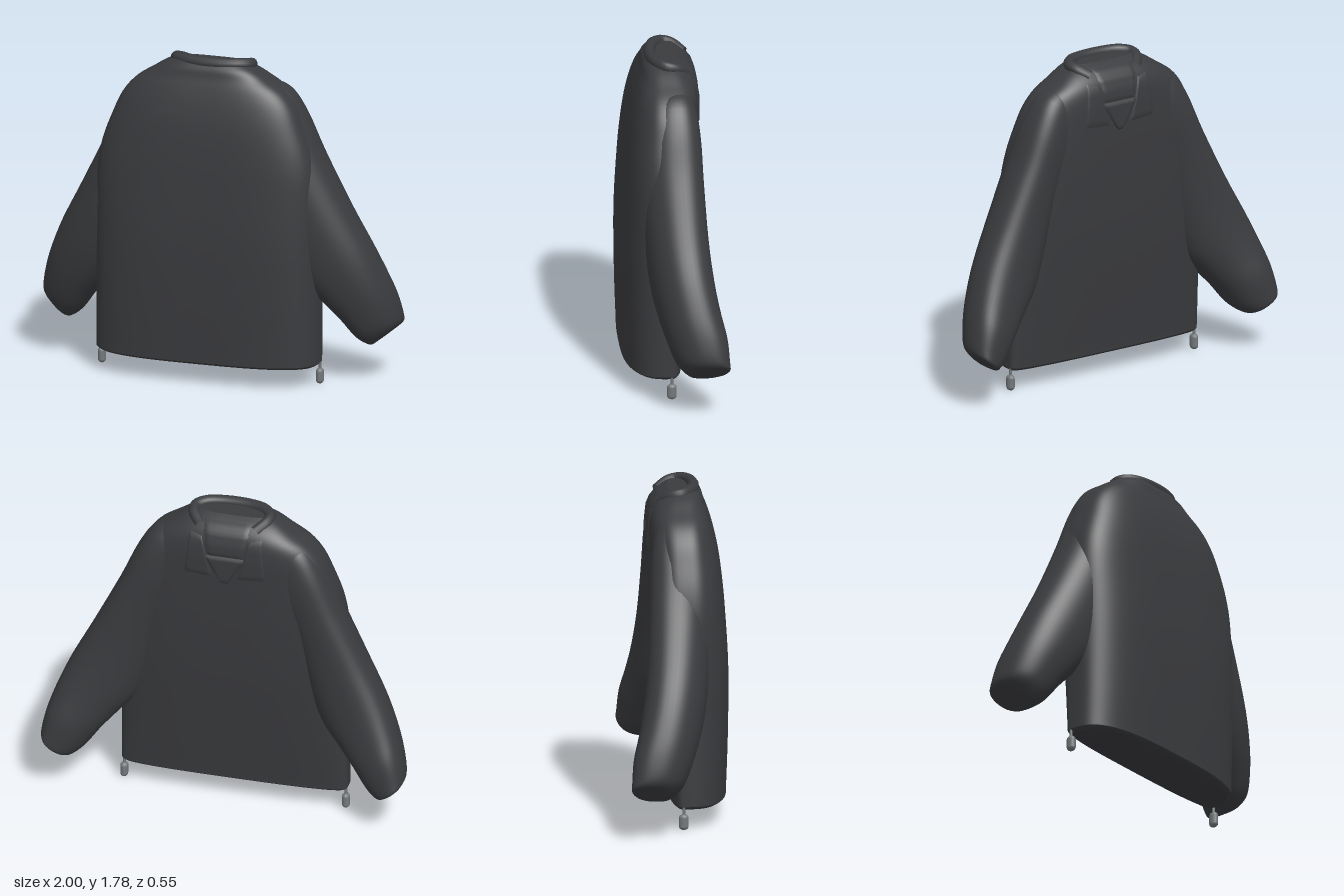
import * as THREE from 'three';

const cloth = new THREE.MeshStandardMaterial({ color: 0x3a3b3e, side: THREE.DoubleSide });
const metal = new THREE.MeshStandardMaterial({ color: 0x74787a });

// Body rows: y, half width, front z, back z
const BODY = [
  [0.11, 0.605, 0.24, -0.03],
  [0.125, 0.62, 0.262, -0.05],
  [0.16, 0.622, 0.265, -0.055],
  [0.45, 0.622, 0.275, -0.09],
  [0.8, 0.622, 0.277, -0.128],
  [1.1, 0.618, 0.26, -0.146],
  [1.27, 0.59, 0.245, -0.152],
  [1.42, 0.535, 0.225, -0.155],
  [1.53, 0.485, 0.20, -0.155],
  [1.61, 0.42, 0.175, -0.148],
  [1.67, 0.33, 0.152, -0.128],
  [1.715, 0.26, 0.138, -0.09],
  [1.745, 0.20, 0.115, -0.04],
];
const EDGE_Z = 0.02, SHIFT = -0.012;
const POWER = 3; // roundness of the body section

// Sleeve sections from cuff to shoulder: outer x, y, inner x, y, mid z, half depth
const SLEEVE = [
  [0.96, 0.29, 0.86, 0.21, -0.165, 0.07],
  [0.99, 0.315, 0.835, 0.205, -0.16, 0.105],
  [1.0, 0.36, 0.77, 0.255, -0.13, 0.135],
  [0.975, 0.48, 0.69, 0.36, -0.10, 0.155],
  [0.93, 0.61, 0.60, 0.46, -0.065, 0.16],
  [0.86, 0.77, 0.50, 0.58, -0.033, 0.163],
  [0.75, 0.98, 0.42, 0.78, -0.008, 0.163],
  [0.605, 1.27, 0.34, 1.05, 0.008, 0.162],
  [0.51, 1.48, 0.25, 1.22, 0.012, 0.158],
  [0.42, 1.61, 0.18, 1.36, 0.012, 0.138],
  [0.30, 1.66, 0.12, 1.48, 0.012, 0.10],
];

// Smooth interpolation through rows of numbers
function rowsAlong(keys, steps) {
  const rows = [];
  for (let i = 0; i < keys.length - 1; i++) {
    const a = keys[Math.max(i - 1, 0)], b = keys[i], c = keys[i + 1];
    const d = keys[Math.min(i + 2, keys.length - 1)];
    for (let s = 0; s < steps; s++) {
      const t = s / steps;
      rows.push(b.map((v, k) => {
        const cubic = 3 * (v - c[k]) + d[k] - a[k];
        const square = 2 * a[k] - 5 * v + 4 * c[k] - d[k];
        return v + 0.5 * t * (c[k] - a[k] + t * (square + t * cubic));
      }));
    }
  }
  rows.push(keys[keys.length - 1]);
  return rows;
}

// Skin over closed rings, with flat caps on both ends
function loft(rings) {
  const n = rings[0].length, pos = rings.flat(2), idx = [];
  for (let r = 0; r < rings.length - 1; r++) {
    for (let i = 0; i < n; i++) {
      const a = r * n + i, b = r * n + (i + 1) % n;
      idx.push(a, a + n, b, b, a + n, b + n);
    }
  }
  for (const [ring, first] of [[rings[0], true], [rings[rings.length - 1], false]]) {
    const base = pos.length / 3;
    const mid = [0, 1, 2].map(k => ring.reduce((sum, p) => sum + p[k], 0) / n);
    pos.push(...ring.flat(), ...mid);
    for (let i = 0; i < n; i++) {
      const a = base + i, b = base + (i + 1) % n;
      idx.push(base + n, first ? a : b, first ? b : a);
    }
  }
  const g = new THREE.BufferGeometry();
  g.setAttribute('position', new THREE.Float32BufferAttribute(pos, 3));
  g.setIndex(idx);
  g.computeVertexNormals();
  return g;
}

// Rounded section; a higher power makes it boxier
function ring(n, power, place) {
  return Array.from({ length: n }, (_, i) => {
    const t = i / n * Math.PI * 2, c = Math.cos(t), s = Math.sin(t), e = 2 / power;
    return place(Math.sign(c) * Math.abs(c) ** e, Math.sign(s) * Math.abs(s) ** e);
  });
}

// Depth of the neck side of the body at a given point
function panelZ(x, y) {
  let i = 0;
  while (i < BODY.length - 2 && BODY[i + 1][0] < y) i++;
  const t = (y - BODY[i][0]) / (BODY[i + 1][0] - BODY[i][0]);
  const w = THREE.MathUtils.lerp(BODY[i][1], BODY[i + 1][1], t);
  const back = THREE.MathUtils.lerp(BODY[i][3], BODY[i + 1][3], t);
  const u = Math.min(1, Math.abs((x - SHIFT) / w));
  return EDGE_Z + (back - EDGE_Z) * (1 - u ** POWER) ** (1 / POWER);
}

// Raised four-cornered cloth patch that follows the body
function patch(a, b, c, d, lift) {
  const g = new THREE.PlaneGeometry(1, 1, 12, 12), p = g.attributes.position;
  for (let i = 0; i < p.count; i++) {
    const u = p.getX(i) + 0.5, v = p.getY(i) + 0.5;
    const mix = k => (1 - v) * ((1 - u) * a[k] + u * b[k]) + v * ((1 - u) * d[k] + u * c[k]);
    const rim = Math.min(u, 1 - u, v, 1 - v) < 0.01;
    p.setXYZ(i, mix(0), mix(1), panelZ(mix(0), mix(1)) - (rim ? -0.004 : lift));
  }
  g.computeVertexNormals();
  return g;
}

export function createModel() {
  const model = new THREE.Group();
  model.name = 'jacket';
  const add = (name, geometry, material = cloth) => {
    const m = new THREE.Mesh(geometry, material);
    m.name = name;
    model.add(m);
    return m;
  };

  // Body, deep at the middle and thin toward the sides
  const bodyRings = rowsAlong(BODY, 4).map(([y, w, front, back]) =>
    ring(96, POWER, (c, s) => {
      const depth = s > 0 ? front - EDGE_Z : EDGE_Z - back;
      return [SHIFT + w * c, y, EDGE_Z + s * depth];
    }));
  add('body', loft(bodyRings));

  // Collar: a padded roll around the neck, its ends dropping into the opening
  const neck = [[-0.15, 1.69, -0.09], [-0.2, 1.725, -0.03], [-0.205, 1.738, 0.02], [-0.16, 1.745, 0.065],
    [-0.07, 1.745, 0.092], [0.07, 1.745, 0.092], [0.16, 1.745, 0.065], [0.205, 1.738, 0.02],
    [0.2, 1.725, -0.03], [0.15, 1.69, -0.09]];
  const path = new THREE.CatmullRomCurve3(neck.map(p => new THREE.Vector3(...p)));
  add('collar', new THREE.TubeGeometry(path, 60, 0.031, 12));

  // Neck lining and the pointed placket below it
  add('neckLining', patch([-0.1, 1.54], [0.1, 1.54], [0.15, 1.735], [-0.15, 1.735], 0.006));
  add('placket', patch([-0.012, 1.38], [0.012, 1.38], [0.13, 1.55], [-0.13, 1.55], 0.009));

  for (const side of [-1, 1]) {
    const label = side > 0 ? 'left' : 'right';

    // Sleeve sweeping down and away from the shoulder, its outer edge turned back
    const sleeveRings = rowsAlong(SLEEVE, 4).map(([ox, oy, ix, iy, z, depth]) =>
      ring(48, 2.3, (c, s) => [
        side * ((ox + ix) / 2 + c * (ox - ix) / 2),
        (oy + iy) / 2 + c * (oy - iy) / 2,
        z - 0.03 * c + side * s * depth,
      ]));
    add(label + 'Sleeve', loft(sleeveRings));

    // Lapel beside the neck opening
    add(label + 'Lapel', patch([side * 0.06, 1.41], [side * 0.23, 1.42],
      [side * 0.2, 1.68], [side * 0.13, 1.66], 0.006));

    // Drawcord and its toggle at the hem
    const x = SHIFT + side * 0.612;
    const cord = add(label + 'Cord', new THREE.CylinderGeometry(0.008, 0.008, 0.05, 8), metal);
    cord.position.set(x, 0.105, 0.018);
    const toggle = add(label + 'Toggle', new THREE.CapsuleGeometry(0.021, 0.045, 6, 14), metal);
    toggle.position.set(x, 0.0435, 0.018);
    toggle.scale.z = 1.25;
  }
  return model;
}
